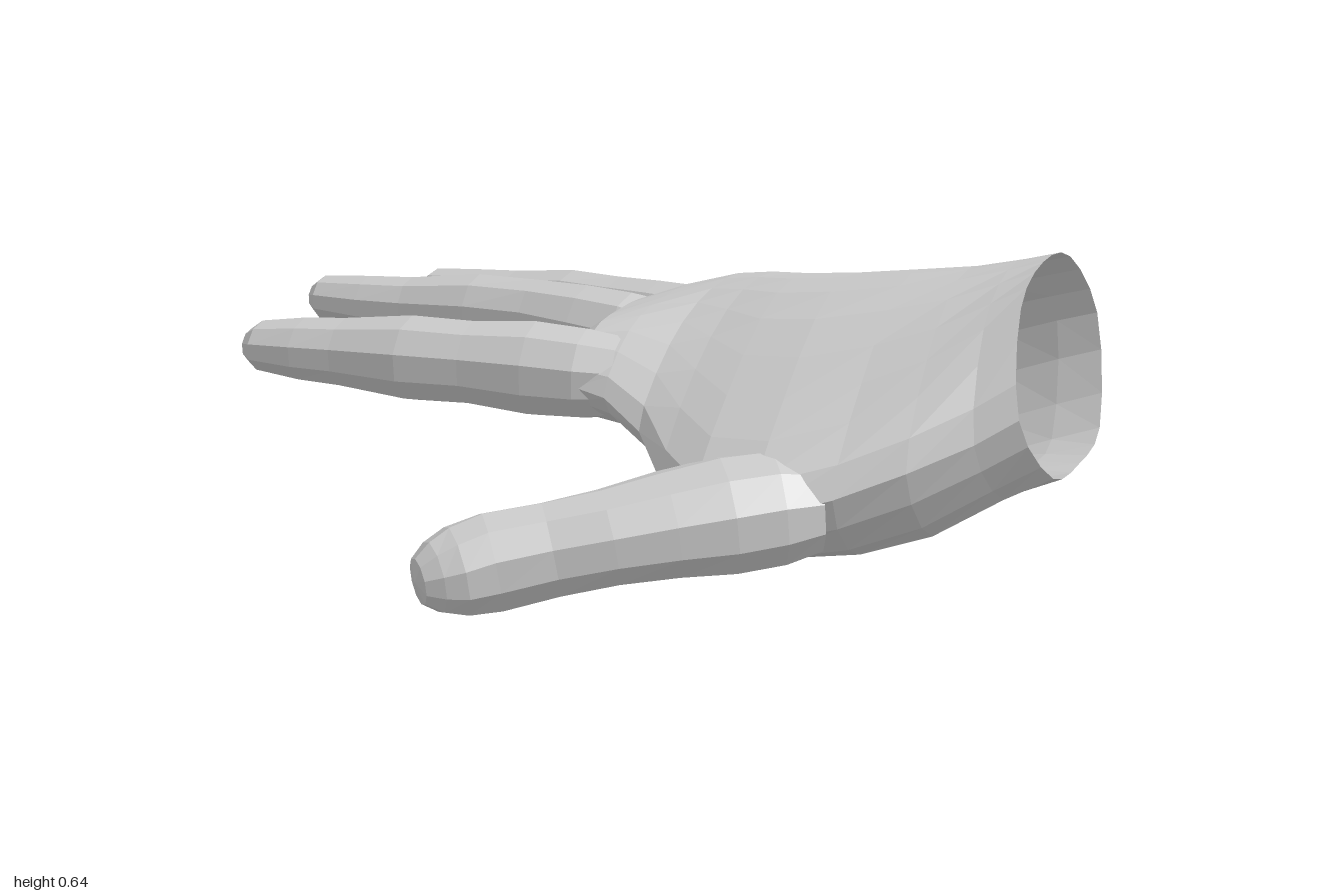
import * as THREE from 'three';

const skin = new THREE.MeshStandardMaterial({ color: 0xcccccc, flatShading: true, side: THREE.DoubleSide });

// Skin a list of equal-sized rings and close the far end with a fan to a point.
function loft(name, rings, tip) {
  const n = rings[0].length;
  const pos = [...rings.flat(), tip].flatMap((p) => [p.x, p.y, p.z]);
  const index = [];
  for (let i = 0; i < rings.length - 1; i++) {
    for (let j = 0; j < n; j++) {
      const a = i * n + j, b = i * n + (j + 1) % n;
      index.push(a, b, a + n, b, b + n, a + n);
    }
  }
  const last = (rings.length - 1) * n;
  for (let j = 0; j < n; j++) index.push(last + j, last + (j + 1) % n, last + n);
  const geo = new THREE.BufferGeometry();
  geo.setAttribute('position', new THREE.Float32BufferAttribute(pos, 3));
  geo.setIndex(index);
  geo.computeVertexNormals();
  const mesh = new THREE.Mesh(geo, skin);
  mesh.name = name;
  return mesh;
}

// Palm cross-section: side edges (z0,y0) and (z1,y1), crown height, three underside heights,
// fullness of the thumb-side shoulder, and a tilt that leans the section along x.
function palmRing([x, z0, z1, y0, y1, crown, bLittle, bMid, bThumb, full, tilt = 0]) {
  const at = (t, y) => {
    const z = z0 + (z1 - z0) * t;
    return new THREE.Vector3(x - tilt * (y - 0.4) - tilt * 0.35 * z, y, z);
  };
  const rise = (t, k) => {
    const e = y0 + (y1 - y0) * t;
    return at(t, e + (crown - e) * k);
  };
  const curve = new THREE.CatmullRomCurve3([
    at(1, y1), rise(0.8, full), rise(0.5, 1), rise(0.2, 0.87),
    at(0, y0), at(0.19, bLittle), at(0.48, bMid), at(0.77, bThumb),
  ], true);
  return curve.getPoints(24).slice(0, 24);
}

// Digit: stations of [x, y, z, half width, half height], rounded off at the tip.
function digit(name, stations, sides = 10) {
  const up = new THREE.Vector3(0, 1, 0);
  const centres = stations.map((s) => new THREE.Vector3(s[0], s[1], s[2]));
  const rings = stations.map((s, i) => {
    const dir = centres[Math.min(i + 1, centres.length - 1)].clone().sub(centres[Math.max(i - 1, 0)]).normalize();
    const side = up.clone().cross(dir).normalize();
    const top = dir.clone().cross(side);
    return Array.from({ length: sides }, (_, j) => {
      const a = Math.PI / 2 + j / sides * Math.PI * 2;
      return centres[i].clone()
        .addScaledVector(side, Math.cos(a) * s[3] * 1.08)
        .addScaledVector(top, Math.sin(a) * s[4]);
    });
  });
  const end = centres.at(-1);
  const dir = end.clone().sub(centres.at(-2)).normalize();
  const r = stations.at(-1)[3];
  const cap = rings.at(-1).map((p) => p.clone().lerp(end, 0.35).addScaledVector(dir, r * 0.5));
  return loft(name, [...rings, cap], end.clone().addScaledVector(dir, r * 0.62));
}

export function createModel() {
  const hand = new THREE.Group();
  hand.name = 'hand';

  // Open wrist, back of the hand, palm hollow and heel, narrowing to the knuckles
  const sections = [
    [0.94, -0.35, 0.27, 0.46, 0.38, 0.635, 0.23, 0.2, 0.22, 0.76, 0.22],
    [0.85, -0.36, 0.31, 0.43, 0.33, 0.615, 0.19, 0.18, 0.17, 0.7, 0.14],
    [0.73, -0.39, 0.39, 0.38, 0.28, 0.59, 0.13, 0.15, 0.09, 0.6, 0.05],
    [0.6, -0.43, 0.46, 0.34, 0.23, 0.57, 0.1, 0.145, 0.045, 0.54],
    [0.45, -0.48, 0.53, 0.31, 0.19, 0.545, 0.1, 0.165, 0.03, 0.52],
    [0.32, -0.52, 0.52, 0.29, 0.18, 0.525, 0.11, 0.18, 0.05, 0.54],
    [0.22, -0.55, 0.43, 0.28, 0.21, 0.51, 0.13, 0.2, 0.11, 0.62],
    [0.13, -0.53, 0.33, 0.28, 0.28, 0.495, 0.16, 0.21, 0.17, 0.68],
    [0.03, -0.41, 0.285, 0.31, 0.33, 0.475, 0.21, 0.23, 0.22, 0.8],
    [-0.05, -0.25, 0.265, 0.33, 0.34, 0.455, 0.25, 0.25, 0.24, 0.85],
    [-0.12, -0.18, 0.23, 0.34, 0.34, 0.4, 0.28, 0.28, 0.27, 0.9],
  ];
  hand.add(loft('palm', sections.map(palmRing), new THREE.Vector3(-0.14, 0.34, 0.02)));

  // Fingers, rooted inside the palm and swelling slightly at their joints
  hand.add(digit('indexFinger', [
    [0.02, 0.345, 0.16, 0.088, 0.09], [-0.06, 0.345, 0.17, 0.1, 0.102], [-0.18, 0.345, 0.175, 0.102, 0.108],
    [-0.33, 0.345, 0.185, 0.09, 0.096], [-0.48, 0.34, 0.185, 0.094, 0.099], [-0.66, 0.332, 0.175, 0.08, 0.081],
    [-0.77, 0.327, 0.17, 0.078, 0.075], [-0.89, 0.322, 0.165, 0.066, 0.06],
  ]));
  hand.add(digit('middleFinger', [
    [-0.01, 0.355, -0.115, 0.085, 0.088], [-0.08, 0.355, -0.125, 0.095, 0.105], [-0.2, 0.36, -0.145, 0.087, 0.102],
    [-0.34, 0.365, -0.17, 0.077, 0.092], [-0.5, 0.36, -0.195, 0.081, 0.09], [-0.7, 0.345, -0.22, 0.066, 0.074],
    [-0.83, 0.34, -0.233, 0.065, 0.068], [-0.965, 0.338, -0.247, 0.056, 0.056],
  ]));
  hand.add(digit('ringFinger', [
    [0.07, 0.34, -0.31, 0.085, 0.09], [0.0, 0.335, -0.33, 0.094, 0.104], [-0.1, 0.335, -0.357, 0.089, 0.1],
    [-0.22, 0.335, -0.39, 0.08, 0.092], [-0.36, 0.332, -0.43, 0.083, 0.09], [-0.54, 0.32, -0.475, 0.071, 0.075],
    [-0.67, 0.313, -0.505, 0.07, 0.068], [-0.797, 0.31, -0.532, 0.06, 0.056],
  ]));
  hand.add(digit('littleFinger', [
    [0.22, 0.29, -0.45, 0.08, 0.09], [0.15, 0.28, -0.482, 0.092, 0.105], [0.07, 0.275, -0.53, 0.087, 0.1],
    [-0.05, 0.265, -0.61, 0.071, 0.082], [-0.16, 0.26, -0.685, 0.068, 0.078], [-0.27, 0.245, -0.755, 0.059, 0.068],
    [-0.33, 0.235, -0.793, 0.058, 0.064], [-0.395, 0.228, -0.83, 0.05, 0.054],
  ]));

  // Thumb, growing out of the heel and angled down and away from the palm
  hand.add(digit('thumb', [
    [0.54, 0.19, 0.38, 0.095, 0.1], [0.47, 0.185, 0.42, 0.115, 0.12], [0.38, 0.175, 0.475, 0.123, 0.122],
    [0.28, 0.163, 0.54, 0.115, 0.11], [0.18, 0.146, 0.612, 0.098, 0.1], [0.08, 0.125, 0.67, 0.087, 0.1],
    [-0.02, 0.106, 0.735, 0.088, 0.105], [-0.075, 0.095, 0.78, 0.085, 0.094], [-0.107, 0.09, 0.815, 0.066, 0.075],
  ]));
  return hand;
}
